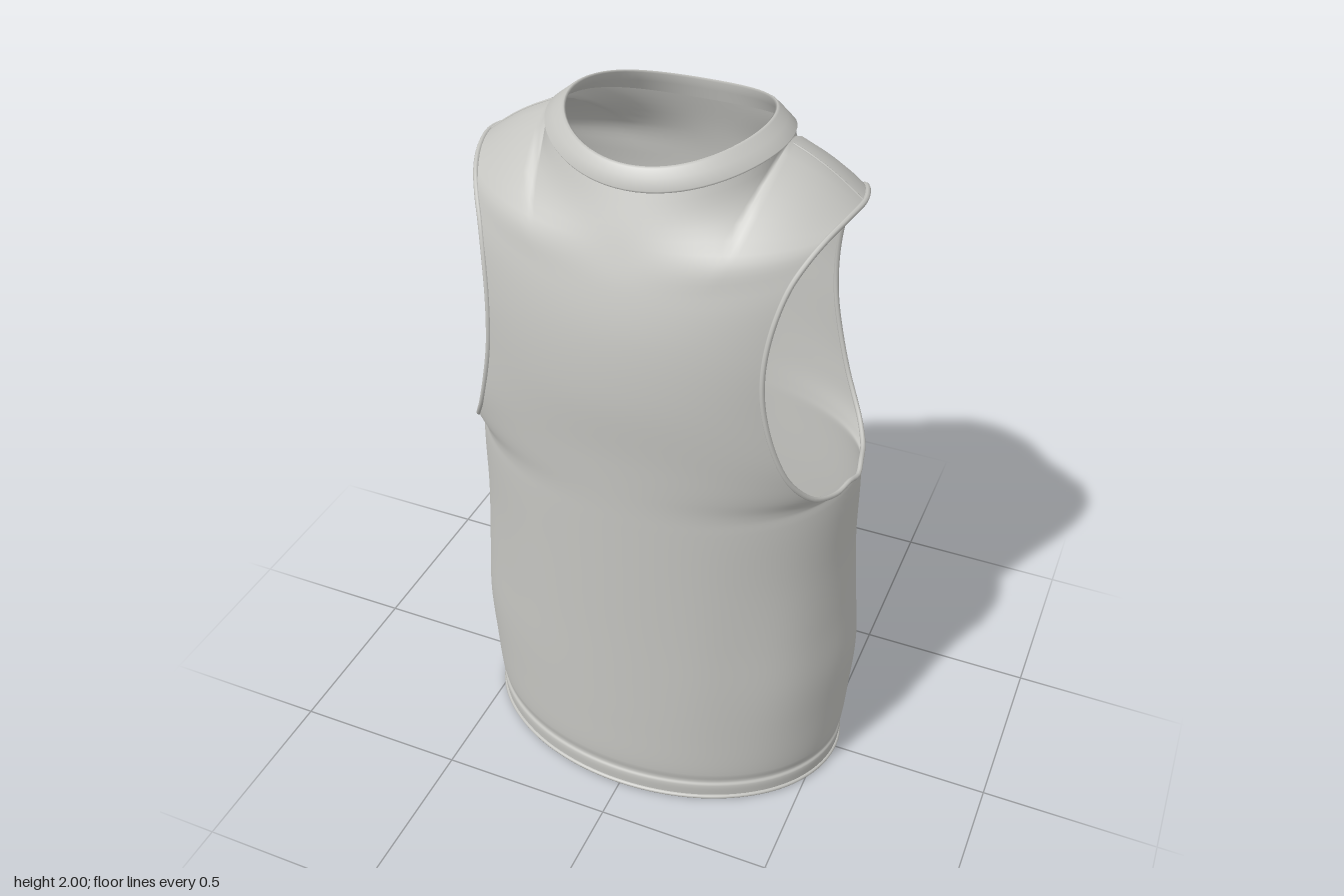
import * as THREE from 'three';
import { mergeGeometries, mergeVertices } from 'three/addons/utils/BufferGeometryUtils.js';

// Rows from hem to shoulder: centre y, front depth, back depth, edge x, edge y, front edge z, back edge z
const ROWS = [
  [0.007, 0.38, 0.35, 0.54, 0.007, 0, 0],
  [0.054, 0.382, 0.359, 0.544, 0.054, 0, 0],
  [0.066, 0.376, 0.355, 0.539, 0.066, 0, 0],
  [0.1, 0.381, 0.365, 0.546, 0.1, 0, 0],
  [0.25, 0.382, 0.374, 0.556, 0.25, 0, 0],
  [0.42, 0.381, 0.362, 0.563, 0.42, 0, 0],
  [0.6, 0.38, 0.338, 0.55, 0.6, 0, 0],
  [0.8, 0.38, 0.33, 0.537, 0.8, 0, 0],
  [1.0, 0.38, 0.33, 0.533, 1.05, 0, 0],
  [1.06, 0.38, 0.331, 0.512, 1.06, 0.1, 0.11],
  [1.12, 0.381, 0.332, 0.475, 1.1, 0.2, 0.185],
  [1.22, 0.384, 0.334, 0.42, 1.2, 0.268, 0.235],
  [1.4, 0.393, 0.338, 0.367, 1.4, 0.3, 0.258],
  [1.56, 0.38, 0.34, 0.362, 1.56, 0.292, 0.256],
  [1.68, 0.35, 0.335, 0.395, 1.72, 0.24, 0.215],
  [1.78, 0.312, 0.316, 0.448, 1.81, 0.15, 0.135],
];
const UNDERARM = 8;      // row where the armhole opens
const LAST = ROWS.length; // index of the neck and shoulder row

// Point on a ring around the neck that dips at front and back
function neckPoint(a, [rx, front, back, ySide, yDip]) {
  const c = Math.cos(a);
  return new THREE.Vector3(rx * Math.sin(a), ySide + (yDip - ySide) * c * c, c * (c > 0 ? front : back));
}

const NECK = [0.3, 0.262, 0.28, 1.955, 1.895];

// Top row: half the neck ring, then the shoulder seam on each side
function topPoint(s, back) {
  const m = Math.abs(s), sign = Math.sign(s);
  if (m <= 0.5) {
    const a = s * Math.PI;
    const p = neckPoint(back ? Math.PI - a : a, NECK);
    if (m === 0.5) p.z = 0;
    return p;
  }
  const k = (m - 0.5) * 2;
  return new THREE.Vector3(sign * (0.3 + 0.187 * k), 1.955 - 0.115 * k + 0.01 * Math.sin(k * Math.PI), 0);
}

function rowPoint(row, s, back) {
  const [yc, zf, zb, xe, ye, ef, eb] = row;
  const depth = back ? zb : zf;
  const arc = Math.acos((back ? eb : ef) / depth);
  const z = Math.abs(s) === 1 && !ef ? 0 : depth * Math.cos(s * arc);
  return new THREE.Vector3(xe * Math.sin(s * arc) / Math.sin(arc), yc + (ye - yc) * s * s, back ? -z : z);
}

// Smooth curve running from hem to top, with one extra point that rounds the shoulder over
function column(s, back) {
  const pts = ROWS.map(r => rowPoint(r, s, back));
  const top = topPoint(s, back), prev = pts[pts.length - 1];
  const next = Math.abs(s) >= 0.5
    ? prev.clone().setZ(-prev.z)
    : top.clone().multiplyScalar(2).sub(prev);
  pts.push(top, next);
  return new THREE.CatmullRomCurve3(pts);
}

// Soft folds in the lower cloth and a slight bulge low on the back
function drape(p) {
  const w = Math.exp(-Math.pow((p.y - 0.5) / 0.3, 2));
  const a = Math.atan2(p.x, p.z);
  const fold = 1 + 0.007 * w * Math.cos(11 * a + 0.6) * Math.pow(Math.sin(a), 2);
  p.x *= fold;
  p.z *= fold;
  if (p.z < 0) p.z -= 0.02 * Math.exp(-Math.pow((p.x + 0.1) / 0.17, 2) - Math.pow((p.y - 0.25) / 0.2, 2));
  return p;
}

const clothPoint = (curve, row) => drape(curve.getPoint(row / (LAST + 1)));

// Grid surface from an array of point rows
function gridGeometry(lines, flip) {
  const n = lines[0].length, idx = [];
  for (let j = 0; j < lines.length - 1; j++) {
    for (let i = 0; i < n - 1; i++) {
      const a = j * n + i, b = a + 1, c = a + n, d = c + 1;
      if (flip) idx.push(a, c, b, b, c, d);
      else idx.push(a, b, c, b, d, c);
    }
  }
  const g = new THREE.BufferGeometry().setFromPoints(lines.flat());
  g.setIndex(idx);
  return g;
}

function panel(back) {
  const cols = 56, steps = 6;
  const curves = Array.from({ length: cols + 1 }, (_, i) => column(i / cols * 2 - 1, back));
  const lines = [];
  for (let j = 0; j <= LAST * steps; j++) lines.push(curves.map(c => clothPoint(c, j / steps)));
  return gridGeometry(lines, back);
}

function smooth(geometry) {
  const g = mergeVertices(geometry, 1e-4);
  g.computeVertexNormals();
  return g;
}

export function createModel() {
  const model = new THREE.Group();
  model.name = 'sleevelessTop';
  const cloth = new THREE.MeshStandardMaterial({ color: 0xc4c4c0, side: THREE.DoubleSide });
  cloth.name = 'light grey cloth';

  const add = (name, geometry) => {
    const mesh = new THREE.Mesh(geometry, cloth);
    mesh.name = name;
    model.add(mesh);
  };
  const piping = (name, pts, radius, closed) =>
    add(name, new THREE.TubeGeometry(new THREE.CatmullRomCurve3(pts, closed), 140, radius, 8, closed));

  // Front and back panels joined at the side and shoulder seams
  add('body', smooth(mergeGeometries([panel(false), panel(true)])));

  // Collar band folded over at the rim
  const rings = [
    NECK,
    [0.302, 0.266, 0.284, 1.961, 1.901],
    [0.278, 0.256, 0.276, 1.98, 1.927],
    [0.257, 0.244, 0.266, 1.997, 1.946],
    [0.251, 0.24, 0.261, 2.0, 1.95],
    [0.246, 0.235, 0.257, 1.996, 1.945],
    [0.262, 0.242, 0.264, 1.972, 1.92],
    [0.29, 0.254, 0.272, 1.95, 1.89],
  ];
  const around = Array.from({ length: 73 }, (_, i) => i / 72 * Math.PI * 2);
  add('collar', smooth(gridGeometry(rings.map(r => around.map(a => neckPoint(a, r))), false)));

  // Bound armhole edges and shoulder seams on both sides
  for (const [side, s] of [['left', 1], ['right', -1]]) {
    const front = column(s, false), back = column(s, true), loop = [];
    for (let r = UNDERARM; r < LAST; r += 0.5) loop.push(clothPoint(front, r));
    for (let r = LAST; r > UNDERARM; r -= 0.5) loop.push(clothPoint(back, r));
    piping(side + 'ArmholeBinding', loop, 0.007, true);
    const seam = [0.52, 0.65, 0.8, 1].map(k => topPoint(s * k, false));
    piping(side + 'ShoulderSeam', seam, 0.003, false);
  }

  // Rolled hem edge
  const hem = [];
  for (let i = 0; i < 32; i++) hem.push(clothPoint(column(i / 16 - 1, false), 0));
  const hemLoop = hem.slice(0, 32);
  for (let i = 32; i > 0; i--) hemLoop.push(clothPoint(column(i / 16 - 1, true), 0));
  piping('hemEdge', hemLoop, 0.007, true);

  return model;
}
